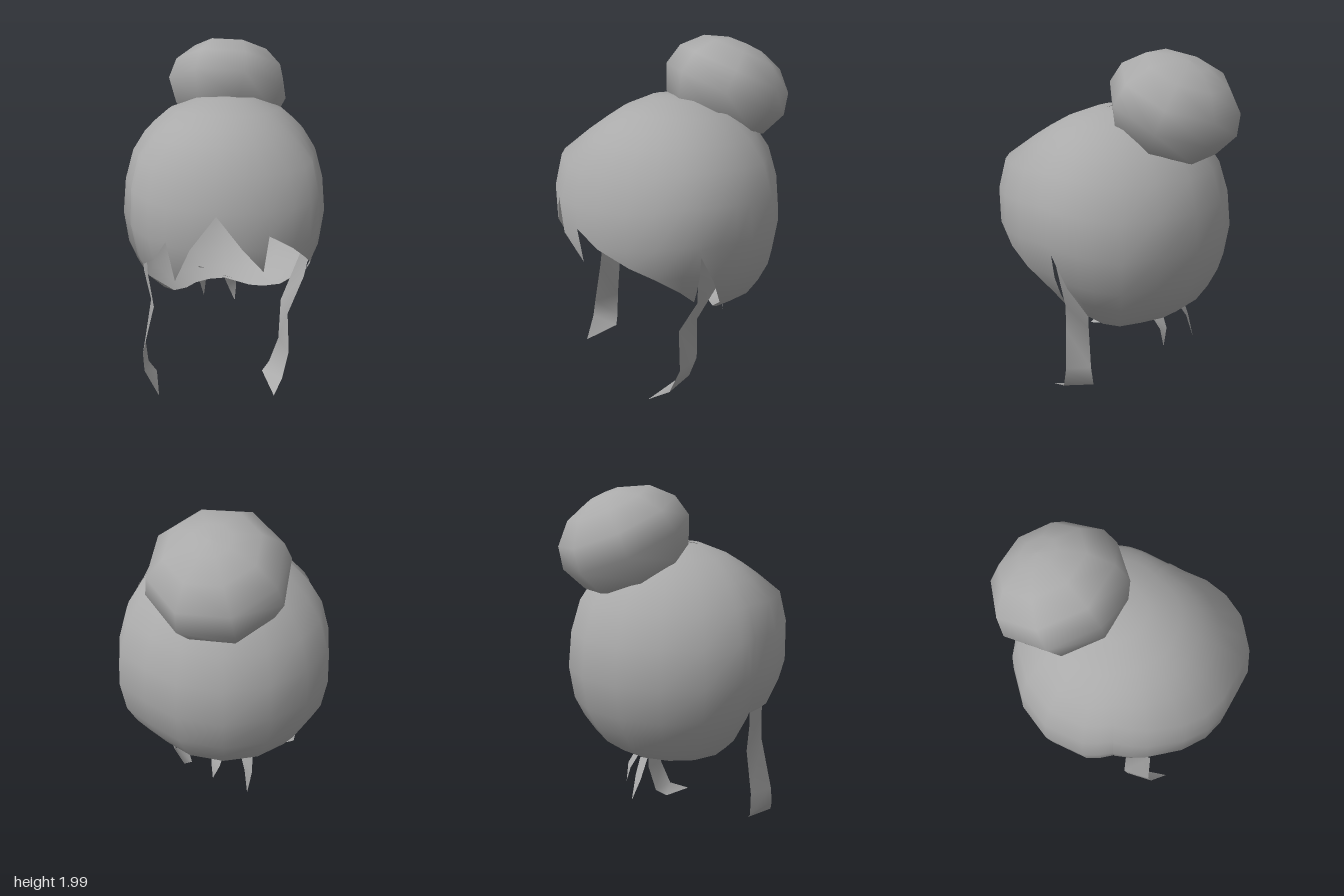
import * as THREE from 'three';
import { mergeVertices } from 'three/addons/utils/BufferGeometryUtils.js';

// Linear lookup in a list of rows with rising first entries
function lookup(table, k, column = 1) {
  if (k <= table[0][0]) return table[0][column];
  for (let i = 1; i < table.length; i++) {
    const p = table[i - 1], q = table[i];
    if (k <= q[0]) return THREE.MathUtils.mapLinear(k, p[0], q[0], p[column], q[column]);
  }
  return table[table.length - 1][column];
}

// Head outline from above: [azimuth in degrees from +z towards +x, radius]
const OUTLINE = [
  [-2, 0.60], [17, 0.64], [37, 0.645], [51, 0.68], [71, 0.67], [87, 0.63], [111, 0.55], [125, 0.55],
  [162, 0.65], [180, 0.62], [200, 0.64], [230, 0.65], [265, 0.64], [293, 0.627], [302, 0.61],
  [322, 0.54], [348, 0.58], [358, 0.60],
];
// Head profile: [height, share of the outline radius at the back, and at the front]
const PROFILE = [
  [0.49, 0.2, 0.2], [0.51, 0.42, 0.42], [0.55, 0.62, 0.62], [0.63, 0.78, 0.76], [0.73, 0.88, 0.83],
  [0.84, 0.96, 0.89], [1.02, 1, 0.98], [1.22, 0.965, 0.985], [1.39, 0.88, 0.92], [1.5, 0.76, 0.69],
  [1.56, 0.66, 0.55], [1.62, 0.54, 0.39], [1.68, 0.27, 0.15], [1.69, 0, 0],
];
const FACING = 42;

function surface(positions, index) {
  let g = new THREE.BufferGeometry();
  g.setAttribute('position', new THREE.Float32BufferAttribute(positions, 3));
  g.setIndex(index);
  g = mergeVertices(g, 1e-4);
  g.computeVertexNormals();
  return g;
}

// Grid of quads, `cols` columns of `rows` points each
function gridIndex(cols, rows) {
  const index = [];
  for (let c = 0; c < cols - 1; c++) {
    for (let r = 0; r < rows - 1; r++) {
      const a = c * rows + r, b = a + rows;
      index.push(a, a + 1, b, b, a + 1, b + 1);
    }
  }
  return index;
}

// Part of the head surface, cut off below at a hem of [azimuth, height] points
function headShell(hem, grow = 1, lift = 0) {
  const heights = PROFILE.map((p) => p[0]).reverse();
  const positions = [];
  for (const [azimuth, low] of hem) {
    const a = THREE.MathUtils.degToRad(azimuth);
    const front = Math.max(0, Math.cos(a - THREE.MathUtils.degToRad(FACING)));
    const radius = lookup(OUTLINE, (azimuth + 360) % 360) * grow;
    for (const h of heights) {
      const y = Math.max(h, low);
      const r = radius * THREE.MathUtils.lerp(lookup(PROFILE, y, 1), lookup(PROFILE, y, 2), front);
      positions.push(Math.sin(a) * r, y + lift, Math.cos(a) * r);
    }
  }
  const g = surface(positions, gridIndex(hem.length, heights.length));
  // Round normals from the middle of the head keep the hair smooth across the parts
  const p = g.attributes.position, n = new THREE.Vector3();
  for (let i = 0; i < p.count; i++) {
    n.fromBufferAttribute(p, i);
    n.y -= 1.08;
    n.normalize();
    g.attributes.normal.setXYZ(i, n.x, n.y, n.z);
  }
  return g;
}

// Flat lock of hair through pairs of edge points
function ribbon(pairs) {
  const left = pairs.flatMap((p) => p[0]), right = pairs.flatMap((p) => p[1]);
  return surface([...left, ...right], gridIndex(2, pairs.length));
}

export function createModel() {
  const model = new THREE.Group();
  const hair = new THREE.MeshStandardMaterial({ color: 0xaaaaaa, side: THREE.DoubleSide });
  hair.name = 'hairGrey';

  const add = (name, geometry) => {
    const mesh = new THREE.Mesh(geometry, hair);
    mesh.name = name;
    model.add(mesh);
    return mesh;
  };

  // Back of the hair, open towards the face and at the neck
  add('backHair', headShell([
    [111, 1.15], [119, 1.0], [130, 0.8], [140, 0.63], [148, 0.54], [162, 0.51], [180, 0.505], [200, 0.505],
    [222, 0.51], [244, 0.51], [265, 0.51], [285, 0.51], [306, 0.53], [314, 0.65], [322, 0.77], [330, 1.0],
  ]));

  // Fringe with jagged points and a longer flap on each side
  add('fringe', headShell([
    [-38, 0.8], [-28, 0.805], [-19, 0.81], [0, 0.9], [12.5, 1.04], [13.5, 0.81], [25, 1.02], [37, 1.2],
    [48, 1.04], [58.5, 0.9], [59.5, 1.1], [71, 1.02], [84, 0.92], [97, 0.84], [111, 0.73], [121, 0.65],
  ], 1.01, 0.004));

  // Top bun, leaning backwards
  const bunProfile = [
    [0, -0.2], [0.2, -0.2], [0.3, -0.14], [0.36, 0], [0.33, 0.12], [0.23, 0.22], [0.1, 0.265], [0, 0.27],
  ].map(([r, y]) => new THREE.Vector2(r, y));
  const bun = add('bun', new THREE.LatheGeometry(bunProfile, 8).rotateY(0.15));
  bun.position.set(-0.21, 1.7, -0.27);
  bun.quaternion.setFromUnitVectors(new THREE.Vector3(0, 1, 0), new THREE.Vector3(-0.19, 1, -0.4).normalize());

  // Long locks hanging beside the face
  add('rightLock', ribbon([
    [[-0.3, 0.96, 0.39], [-0.16, 0.98, 0.48]],
    [[-0.27, 0.72, 0.4], [-0.16, 0.75, 0.47]],
    [[-0.23, 0.55, 0.39], [-0.11, 0.57, 0.48]],
    [[-0.26, 0.3, 0.42], [-0.15, 0.29, 0.54]],
    [[-0.24, 0.16, 0.42], [-0.13, 0.19, 0.55]],
    [[-0.18, 0.11, 0.41], [-0.01, 0.08, 0.555]],
  ]));
  add('leftLock', ribbon([
    [[0.3, 0.99, -0.34], [0.46, 1.02, -0.26]],
    [[0.29, 0.75, -0.35], [0.39, 0.66, -0.25]],
    [[0.25, 0.48, -0.22], [0.36, 0.45, -0.14]],
    [[0.24, 0.22, -0.22], [0.37, 0.2, -0.15]],
    [[0.21, 0.07, -0.17], [0.37, 0.05, -0.09]],
    [[0.21, 0.035, -0.1], [0.4, 0, 0.03]],
  ]));

  // Small wisps at the nape
  add('outerWisp', ribbon([
    [[-0.36, 0.56, -0.15], [-0.31, 0.53, -0.2]],
    [[-0.39, 0.43, -0.19], [-0.36, 0.45, -0.22]],
    [[-0.4, 0.31, -0.24], [-0.4, 0.31, -0.24]],
  ]));
  add('innerWisp', ribbon([
    [[-0.2, 0.52, -0.21], [-0.12, 0.51, -0.24]],
    [[-0.21, 0.42, -0.27], [-0.16, 0.43, -0.29]],
    [[-0.18, 0.32, -0.3], [-0.18, 0.32, -0.3]],
  ]));

  return model;
}
